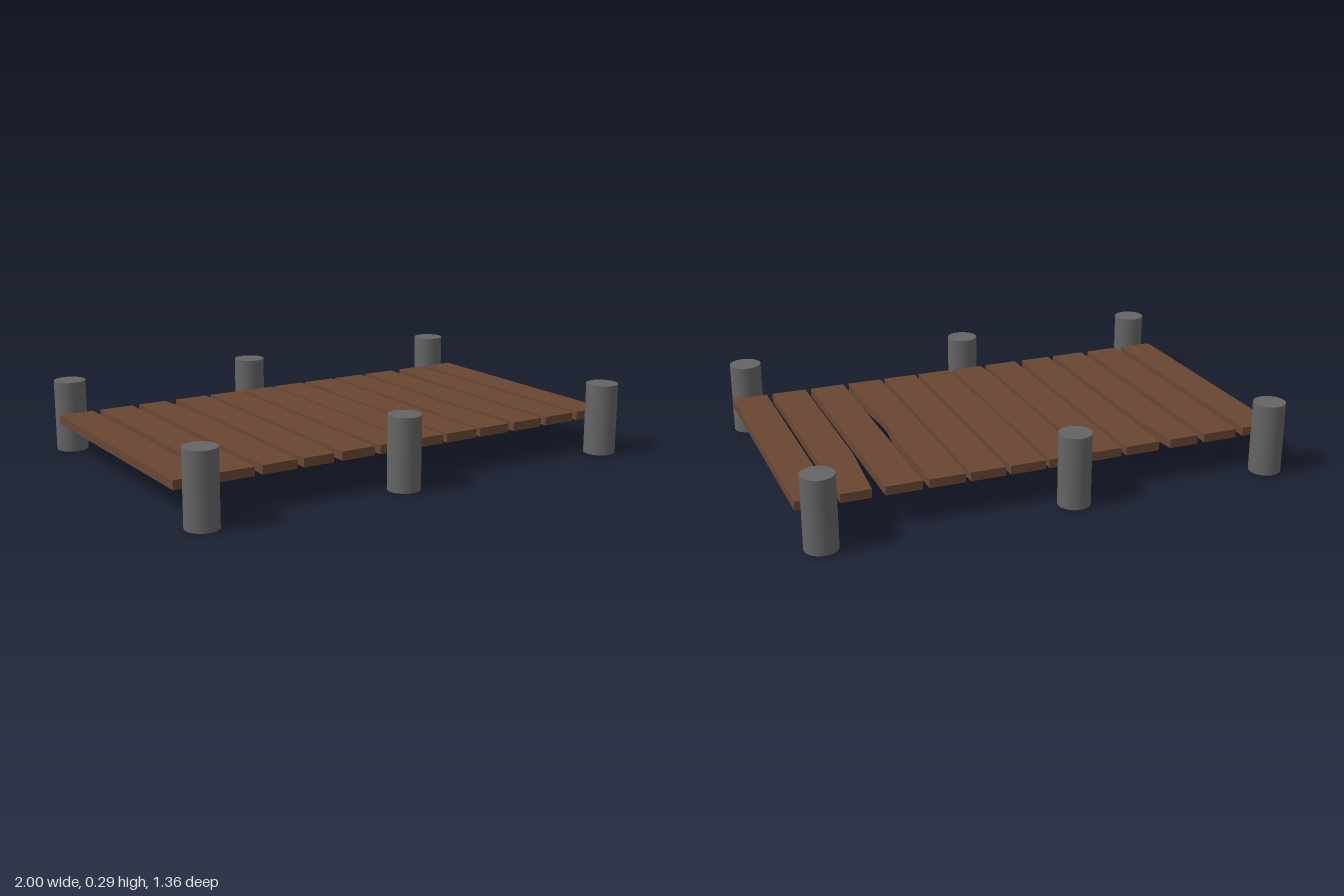
import * as THREE from 'three';

const HALF_LENGTH = 0.545, WIDTH = 0.145, BOTTOM = 0.13, THICKNESS = 0.036;

// Each plank: left edge x, and optional worn edges as [z, inset] points from back to front
const PLANKS = [
  { x: -1 },
  { x: -0.822 },
  { x: -0.645, right: [[-HALF_LENGTH, 0.022], [-0.34, 0]] },
  { x: -0.472, right: [[0.35, 0], [HALF_LENGTH, 0.016]] },
  { x: -0.305 },
  { x: -0.143, left: [[0.4, 0], [HALF_LENGTH, 0.008]] },
  { x: 0.018 },
  { x: 0.18, left: [[-0.47, 0], [-0.39, 0.01], [-0.25, 0]] },
  { x: 0.344, right: [[-0.09, 0], [0.02, 0.014], [0.12, 0.014], [0.28, 0]] },
  { x: 0.514 },
  { x: 0.685, left: [[-HALF_LENGTH, 0.025], [-0.21, 0]] },
  { x: 0.855 },
];

// Adds straight ends to a worn edge that does not reach the plank's ends
function fullEdge(points = []) {
  const edge = [...points];
  if (!edge.length || edge[0][0] > -HALF_LENGTH) edge.unshift([-HALF_LENGTH, 0]);
  if (edge[edge.length - 1][0] < HALF_LENGTH) edge.push([HALF_LENGTH, 0]);
  return edge;
}

function plankGeometry({ x, left, right }) {
  const outline = [
    ...fullEdge(left).map(([z, inset]) => new THREE.Vector2(x + inset, -z)),
    ...fullEdge(right).reverse().map(([z, inset]) => new THREE.Vector2(x + WIDTH - inset, -z)),
  ];
  const geometry = new THREE.ExtrudeGeometry(new THREE.Shape(outline), {
    depth: THICKNESS, bevelEnabled: false,
  });
  return geometry.rotateX(-Math.PI / 2).translate(0, BOTTOM, 0);
}

export function createModel() {
  const wood = new THREE.MeshStandardMaterial({ color: 0x694632 });
  wood.name = 'brown wood';
  const stone = new THREE.MeshStandardMaterial({ color: 0x646464 });
  stone.name = 'grey post';

  const model = new THREE.Group();
  model.name = 'dock';

  // Deck of separate planks
  const deck = new THREE.Group();
  deck.name = 'deck';
  PLANKS.forEach((plank, i) => {
    const mesh = new THREE.Mesh(plankGeometry(plank), wood);
    mesh.name = `plank${i + 1}`;
    deck.add(mesh);
  });
  model.add(deck);

  // Round posts along the front and back edges
  const posts = new THREE.Group();
  posts.name = 'posts';
  const postGeometry = new THREE.CylinderGeometry(0.065, 0.065, 0.294, 32).translate(0, 0.147, 0);
  for (const z of [-0.613, 0.613]) {
    for (const x of [-0.925, -0.072, 0.925]) {
      const post = new THREE.Mesh(postGeometry, stone);
      post.name = z > 0 ? 'frontPost' : 'backPost';
      post.position.set(x, 0, z);
      posts.add(post);
    }
  }
  model.add(posts);
  return model;
}
